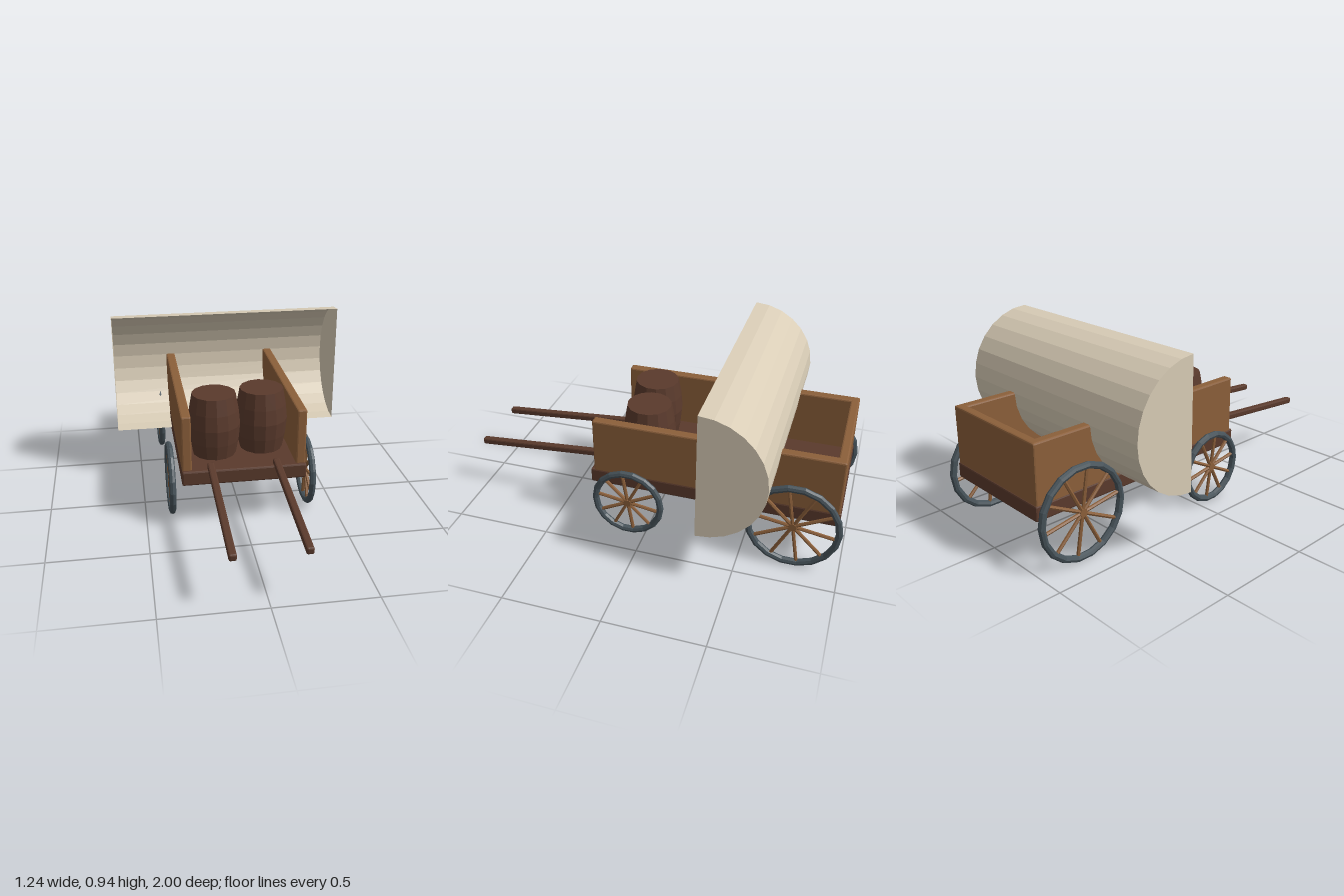
import * as THREE from 'three';
import { RoundedBoxGeometry } from 'three/addons/geometries/RoundedBoxGeometry.js';

function material(name, color, extra = {}) {
  const m = new THREE.MeshStandardMaterial({ color, flatShading: true, ...extra });
  m.name = name;
  return m;
}

export function createModel() {
  const wagon = new THREE.Group();
  wagon.name = 'wagon';
  const plank = material('plank wood', 0x8b5f3a);
  const dark = material('dark wood', 0x5a3a2c);
  const iron = material('iron', 0x465259);
  const canvas = material('canvas', 0xd8ccb6, { side: THREE.DoubleSide });

  const add = (name, geometry, mat, x = 0, y = 0, z = 0, parent = wagon) => {
    const mesh = new THREE.Mesh(geometry, mat);
    mesh.name = name;
    mesh.position.set(x, y, z);
    parent.add(mesh);
    return mesh;
  };
  // Chamfered box given by its size and centre
  const board = (name, mat, w, h, d, x, y, z) =>
    add(name, new RoundedBoxGeometry(w, h, d, 1, 0.008), mat, x, y, z);

  // Bed and walls
  board('bed', dark, 0.634, 0.077, 1.275, 0, 0.293, -0.335);
  board('backBoard', plank, 0.63, 0.3, 0.045, 0, 0.472, -0.945);
  for (const s of [-1, 1]) {
    board('sideBoard', plank, 0.05, 0.3, 1.245, s * 0.29, 0.472, -0.338);
  }

  // Sloping shafts
  const from = new THREE.Vector3(0, 0.339, 0.254);
  const to = new THREE.Vector3(0, 0.28, 0.998);
  const middle = from.clone().add(to).multiplyScalar(0.5);
  for (const s of [-1, 1]) {
    const shaft = board('shaft', dark, 0.036, 0.034, from.distanceTo(to),
      s * 0.168, middle.y, middle.z);
    shaft.rotation.x = Math.atan2(from.y - to.y, to.z - from.z);
  }

  // Wheels: iron rim with crossing wooden spokes
  const wheel = (name, x, z, radius) => {
    const group = new THREE.Group();
    group.name = name;
    group.position.set(x, radius + 0.004, z);
    group.rotation.y = Math.PI / 2;
    wagon.add(group);
    const tube = 0.0175;
    add('rim', new THREE.TorusGeometry(radius - tube, tube, 8, 18), iron, 0, 0, 0, group);
    for (let i = 0; i < 5; i++) {
      const spoke = add('spoke',
        new THREE.CylinderGeometry(0.009, 0.009, 2 * (radius - tube), 6),
        plank, 0, 0, 0, group);
      spoke.rotation.z = (i * Math.PI) / 5 + 0.16;
    }
    const hub = add('hub', new THREE.CylinderGeometry(0.02, 0.02, 0.022, 10), plank, 0, 0, 0, group);
    hub.rotation.x = Math.PI / 2;
  };
  for (const s of [-1, 1]) {
    wheel('frontWheel', s * 0.363, 0.088, 0.192);
    wheel('rearWheel', s * 0.363, -0.757, 0.241);
  }

  // Barrels
  const profile = [[0, 0], [0.113, 0], [0.128, 0.08], [0.136, 0.165], [0.128, 0.245], [0.113, 0.33], [0, 0.33]]
    .map(([r, y]) => new THREE.Vector2(r, y));
  const barrel = new THREE.LatheGeometry(profile, 14);
  add('barrel', barrel, dark, -0.127, 0.33, 0.08);
  add('barrel', barrel, dark, 0.127, 0.33, 0.042);

  // Half-round canvas cover lying across the bed, open to the front, with closed ends
  const cover = new THREE.CylinderGeometry(0.328, 0.328, 1.244, 14, 1, false, Math.PI / 2, Math.PI);
  cover.rotateZ(Math.PI / 2);
  add('cover', cover, canvas, 0, 0.62, -0.335);

  return wagon;
}
